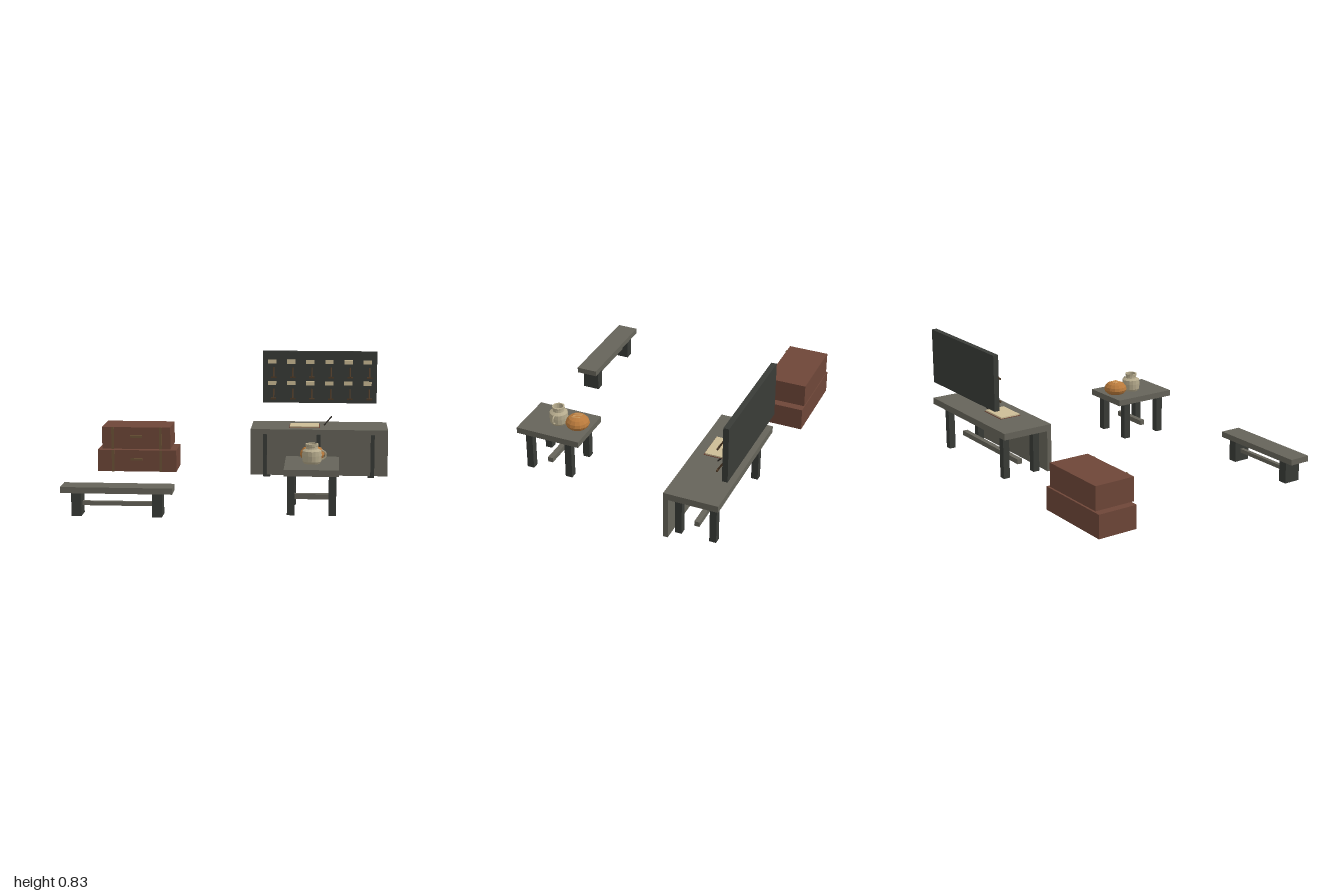
import * as THREE from 'three';

const mat = (color, flat = false) => {
  const m = new THREE.MeshStandardMaterial({ color });
  m.flatShading = flat;
  return m;
};
const STONE = mat(0x66645a), DARK = mat(0x393b37), RED = mat(0x6e4638), BRASS = mat(0x6b5236);
const PAPER = mat(0xcdbd96), WOOD = mat(0x4f3b28), CLAY = mat(0xb5aa8c, true);
const CRUST = mat(0xb97a3c, true), SCORE = mat(0xd9a566), INK = mat(0x2a2622);

function add(parent, name, geometry, material) {
  const mesh = new THREE.Mesh(geometry, material);
  mesh.name = name;
  parent.add(mesh);
  return mesh;
}

// Box given by its extents along each axis
function box(parent, name, [x0, x1], [y0, y1], [z0, z1], material) {
  const mesh = add(parent, name, new THREE.BoxGeometry(x1 - x0, y1 - y0, z1 - z0), material);
  mesh.position.set((x0 + x1) / 2, (y0 + y1) / 2, (z0 + z1) / 2);
  return mesh;
}

// Square or round bar between two points
function bar(parent, name, a, b, radius, material, sides = 6) {
  const p = new THREE.Vector3(...a), q = new THREE.Vector3(...b);
  const mesh = add(parent, name, new THREE.CylinderGeometry(radius, radius, p.distanceTo(q), sides), material);
  mesh.position.copy(p).add(q).multiplyScalar(0.5);
  mesh.quaternion.setFromUnitVectors(new THREE.Vector3(0, 1, 0), q.sub(p).normalize());
  return mesh;
}

function group(parent, name) {
  const g = new THREE.Group();
  g.name = name;
  parent.add(g);
  return g;
}

function buildBench(root) {
  const g = group(root, 'bench');
  box(g, 'benchSeat', [-1, -0.325], [0.143, 0.18], [0.66, 0.8], STONE);
  for (const x of [-0.905, -0.418]) box(g, 'benchLeg', [x - 0.03, x + 0.03], [0, 0.143], [0.675, 0.787], DARK);
  box(g, 'benchStretcher', [-0.9, -0.42], [0.058, 0.083], [0.717, 0.743], STONE);
}

function buildChests(root) {
  const g = group(root, 'stackedChests');
  const chests = [
    { x: [-1, -0.452], y: [0.008, 0.158], front: -0.535 },
    { x: [-0.967, -0.492], y: [0.168, 0.32], front: -0.53 },
  ];
  for (const { x, y, front } of chests) {
    box(g, 'chest', x, y, [-0.8, front], RED);
    for (const sx of [-0.893, -0.56])
      box(g, 'chestStrap', [sx - 0.009, sx + 0.009], y, [front - 0.005, front + 0.006], BRASS);
    const hy = (y[0] + y[1]) / 2 + 0.013;
    box(g, 'chestHandle', [-0.77, -0.688], [hy - 0.008, hy + 0.008], [front - 0.005, front + 0.015], BRASS);
  }
}

function buildCounter(root) {
  const g = group(root, 'counter');
  box(g, 'counterTop', [0.07, 1], [0.292, 0.335], [-0.773, -0.428], STONE);
  box(g, 'counterFrontPanel', [0.07, 1], [0.02, 0.293], [-0.458, -0.428], STONE);
  for (const x of [0.168, 0.532, 0.897])
    box(g, 'panelBatten', [x - 0.013, x + 0.013], [0.015, 0.303], [-0.43, -0.412], DARK);
  for (const x of [0.18, 0.89])
    for (const z of [-0.488, -0.71])
      box(g, 'counterLeg', [x - 0.022, x + 0.022], [0, 0.292], [z - 0.022, z + 0.022], DARK);
  box(g, 'counterStretcher', [0.18, 0.89], [0.068, 0.1], [-0.615, -0.582], STONE);
  // Open ledger and pen
  box(g, 'ledgerCover', [0.33, 0.538], [0.335, 0.338], [-0.643, -0.495], RED);
  box(g, 'ledgerPages', [0.335, 0.533], [0.338, 0.346], [-0.638, -0.5], PAPER);
  bar(g, 'pen', [0.567, 0.338, -0.6], [0.618, 0.394, -0.638], 0.005, INK);
}

function buildBoard(root) {
  const g = group(root, 'keyBoard');
  box(g, 'boardPanel', [0.135, 0.93], [0.468, 0.83], [-0.8, -0.765], DARK);
  for (let row = 0; row < 2; row++)
    for (let col = 0; col < 6; col++) {
      const x = 0.2 + col * 0.133, y = 0.757 - row * 0.15, hx = x + 0.012;
      box(g, 'boardLabel', [x - 0.029, x + 0.029], [y - 0.014, y + 0.014], [-0.766, -0.757], PAPER);
      bar(g, 'keyShank', [hx, y - 0.04, -0.757], [hx, y - 0.105, -0.718], 0.0055, WOOD);
      box(g, 'keyBit', [hx - 0.019, hx + 0.019], [y - 0.109, y - 0.099], [-0.724, -0.715], WOOD);
    }
}

function buildTable(root) {
  const g = group(root, 'smallTable');
  box(g, 'tableTop', [0.335, 0.665], [0.25, 0.29], [0.297, 0.73], STONE);
  for (const x of [0.377, 0.627])
    for (const z of [0.378, 0.652])
      box(g, 'tableLeg', [x - 0.023, x + 0.023], [0, 0.25], [z - 0.023, z + 0.023], DARK);
  box(g, 'tableStretcher', [0.365, 0.635], [0.068, 0.1], [0.497, 0.531], STONE);

  // Jug with a side handle
  const profile = [[0, 0], [0.05, 0], [0.058, 0.014], [0.06, 0.05], [0.058, 0.078], [0.037, 0.09],
    [0.035, 0.104], [0.04, 0.107], [0.04, 0.12], [0.031, 0.12], [0.029, 0.088], [0, 0.086]];
  const jug = group(g, 'jug');
  jug.position.set(0.5, 0.29, 0.513);
  add(jug, 'jugBody', new THREE.LatheGeometry(profile.map(p => new THREE.Vector2(...p)), 16), CLAY);
  const handle = add(jug, 'jugHandle', new THREE.TorusGeometry(0.028, 0.005, 6, 12, Math.PI), CLAY);
  handle.rotation.z = -Math.PI / 2;
  handle.position.set(0.057, 0.052, 0);

  // Round loaf with scored crust
  const loaf = group(g, 'loaf');
  loaf.position.set(0.5, 0.29, 0.38);
  const dome = [[0, 0], [0.055, 0], [0.07, 0.013], [0.078, 0.03], [0.073, 0.05], [0.056, 0.07], [0.03, 0.08], [0, 0.083]];
  add(loaf, 'loafCrust', new THREE.LatheGeometry(dome.map(p => new THREE.Vector2(...p)), 14), CRUST);
  for (const x of [-0.02, 0, 0.02])
    bar(loaf, 'loafScore', [x - 0.008, 0.08, -0.026], [x + 0.008, 0.08, 0.026], 0.004, SCORE);
}

export function createModel() {
  const root = new THREE.Group();
  root.name = 'shopFurniture';
  buildBench(root);
  buildChests(root);
  buildCounter(root);
  buildBoard(root);
  buildTable(root);
  return root;
}
